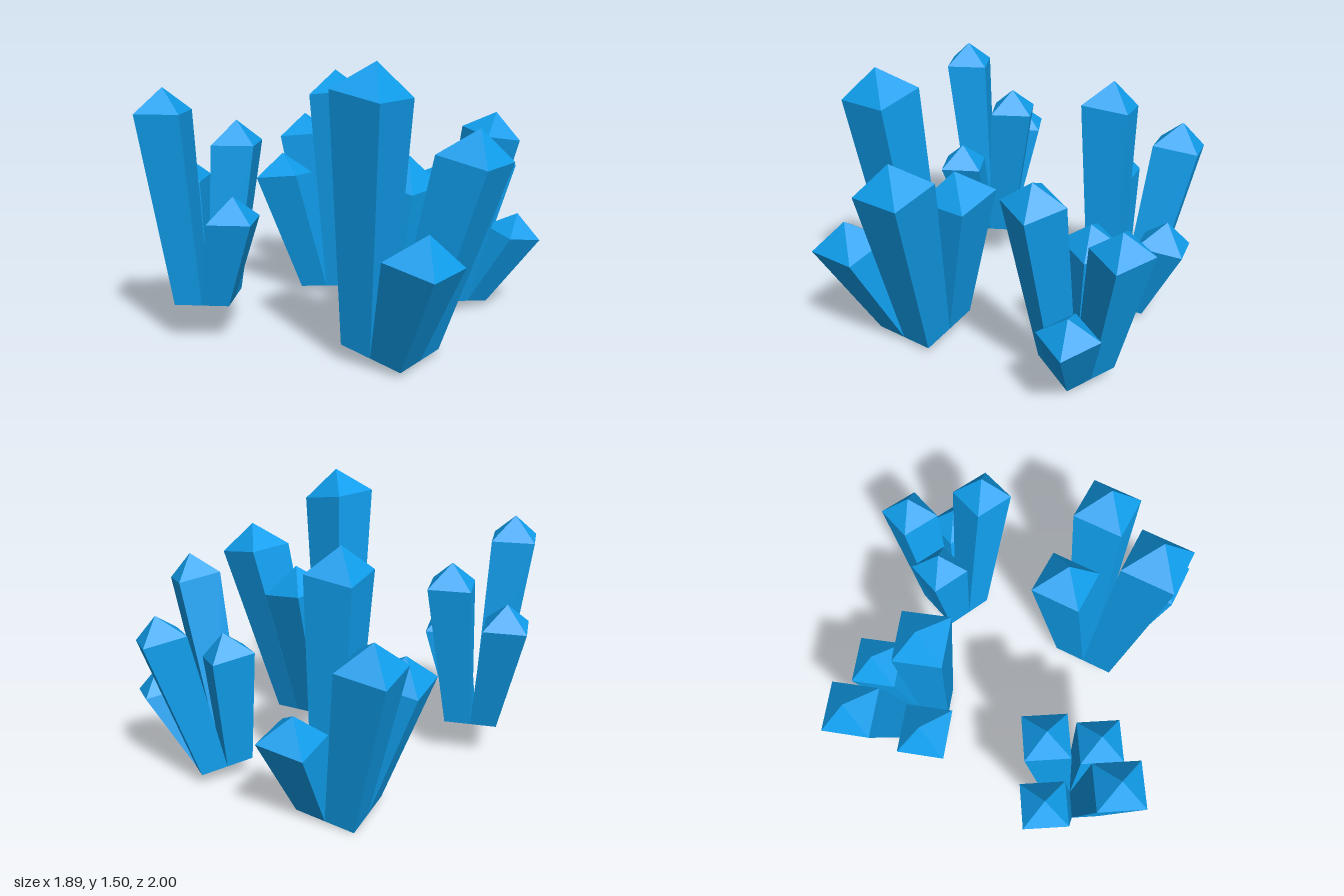
import * as THREE from 'three';

const V = (a) => new THREE.Vector3(...a);
const CORNERS = [[-1, 1], [1, 1], [1, -1], [-1, -1]]; // counter-clockwise seen from above
const BASE_RATIO = 0.635; // width of a crystal's foot relative to its shoulder
const TIP_RATIO = 0.53;   // height of the pointed tip relative to its width

// u and v are the shoulder edges of every crystal; a crystal is placed by the
// signs of its cell in the 2 x 2 foot and by the centre of its shoulder.
const clusters = [
  { name: 'frontLeftOfView', base: [-0.53, 0.215, 0.63], u: [0.117, 0, 0.2], v: [-0.195, 0, 0.116],
    crystals: [
      { cell: [-1, -1], top: [-0.485, 1.03, 0.425] },
      { cell: [-1, 1], top: [-0.757, 0.83, 0.555] },
      { cell: [1, -1], top: [-0.297, 0.68, 0.668] },
      { cell: [1, 1], top: [-0.585, 1.23, 0.842] },
    ] },
  { name: 'frontRightOfView', base: [0.45, 0.065, 0.343], u: [0.278, -0.048, 0], v: [0, 0, 0.283],
    crystals: [
      { cell: [-1, -1], top: [0.382, 0.865, 0.125] },
      { cell: [1, -1], top: [0.805, 1.04, 0.163] },
      { cell: [-1, 1], top: [0.475, 1.36, 0.55] },
      { cell: [1, 1], top: [0.767, 0.605, 0.555] },
    ] },
  { name: 'backLeftOfView', base: [-0.455, 0.04, -0.4], u: [0.245, 0.03, -0.075], v: [0.074, 0.025, 0.242],
    crystals: [
      { cell: [-1, -1], top: [-0.785, 0.93, -0.54] },
      { cell: [1, -1], top: [-0.405, 0.49, -0.675] },
      { cell: [1, 1], top: [-0.37, 1.24, -0.318] },
      { cell: [-1, 1], top: [-0.678, 0.73, -0.187] },
    ] },
  { name: 'backRightOfView', base: [0.295, 0.075, -0.57], u: [0.206, -0.033, 0.092], v: [-0.089, 0.037, 0.204],
    crystals: [
      { cell: [-1, -1], top: [0.37, 0.845, -0.852] },
      { cell: [1, -1], top: [0.6, 0.45, -0.715] },
      { cell: [1, 1], top: [0.56, 1.06, -0.48] },
      { cell: [-1, 1], top: [0.188, 0.725, -0.57] },
    ] },
];

// Four-sided flaring shaft with a pyramid tip and a flat foot
function crystalGeometry(foot, top, u, v) {
  const ring = (centre, scale) => CORNERS.map(([a, b]) =>
    centre.clone().addScaledVector(u, a * scale / 2).addScaledVector(v, b * scale / 2));
  const low = ring(foot, BASE_RATIO);
  const high = ring(top, 1);
  const normal = v.clone().cross(u).normalize();
  const tip = top.clone().addScaledVector(normal, u.length() * TIP_RATIO);
  const points = [];
  for (let i = 0; i < 4; i++) {
    const j = (i + 1) % 4;
    points.push(low[i], low[j], high[j], low[i], high[j], high[i]); // shaft side
    points.push(high[i], high[j], tip);                             // tip facet
    points.push(low[j], low[i], foot);                              // foot
  }
  const geometry = new THREE.BufferGeometry().setFromPoints(points);
  geometry.computeVertexNormals();
  return geometry;
}

export function createModel() {
  const model = new THREE.Group();
  model.name = 'crystalClusters';
  const material = new THREE.MeshStandardMaterial({ color: 0x109fee, flatShading: true });

  for (const cluster of clusters) {
    const group = new THREE.Group();
    group.name = cluster.name + 'Cluster';
    const u = V(cluster.u), v = V(cluster.v);
    cluster.crystals.forEach(({ cell, top }, i) => {
      const foot = V(cluster.base)
        .addScaledVector(u, cell[0] * BASE_RATIO / 2)
        .addScaledVector(v, cell[1] * BASE_RATIO / 2);
      const crystal = new THREE.Mesh(crystalGeometry(foot, V(top), u, v), material);
      crystal.name = 'crystal' + (i + 1);
      group.add(crystal);
    });
    model.add(group);
  }
  return model;
}
